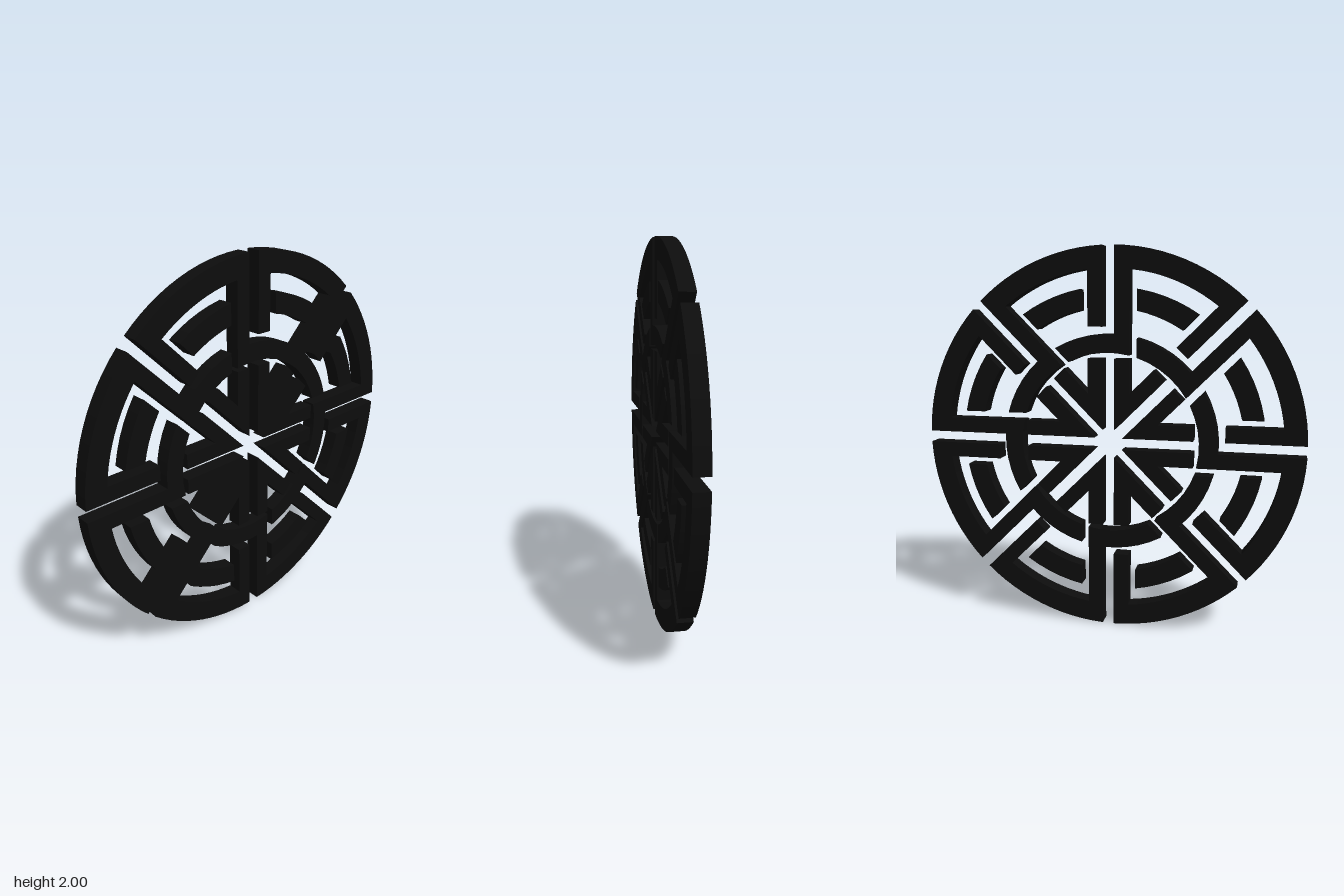
import * as THREE from 'three';

const SECTORS = 8, STEP = Math.PI / 4, TOP = Math.PI / 2;
const GAP = 0.03, BAR = 0.108, CLEAR = 0.147; // offsets from a radial gap line
const THICK = 0.078;

// Point at distance s along the gap line at angle a, shifted sideways (clockwise) by o
const along = (a, s, o) => new THREE.Vector2(
  Math.cos(a) * s + Math.sin(a) * o, Math.sin(a) * s - Math.cos(a) * o);
// Same, but lying on the circle of radius r
const onCircle = (a, r, o) => along(a, Math.sqrt(r * r - o * o), o);

// Arc of radius r between two gap-relative ends
function arc(r, a0, o0, a1, o1, n) {
  const t0 = a0 - Math.asin(o0 / r), t1 = a1 - Math.asin(o1 / r);
  return Array.from({ length: n + 1 }, (_, i) => {
    const t = t0 + (t1 - t0) * i / n;
    return new THREE.Vector2(Math.cos(t) * r, Math.sin(t) * r);
  });
}

function plate(points) {
  const geo = new THREE.ExtrudeGeometry(new THREE.Shape(points),
    { depth: THICK, bevelEnabled: false });
  return geo.translate(0, 0, -THICK / 2);
}

export function createModel() {
  const A = TOP, B = TOP - STEP, C = TOP - 2 * STEP, MID = TOP - STEP / 2;

  // Rim arc with a short arm, and a long arm that ends in a hooked foot
  const rim = plate([
    along(A, 0.6, GAP),
    ...arc(1, A, GAP, B, -GAP, 12),
    ...arc(0.565, B, -GAP, C, -CLEAR, 5),
    ...arc(0.47, C, -CLEAR, B, -BAR, 5),
    ...arc(0.89, B, -BAR, A, BAR, 10),
    along(A, 0.6, BAR),
  ]);

  // Loose curved bar inside each rim panel
  const curved = plate([
    ...arc(0.8, A, CLEAR, B, -CLEAR, 5),
    ...arc(0.695, B, -CLEAR, A, CLEAR, 5),
  ]);

  // V-shaped spoke pair pointing at the centre
  const spokes = plate([
    along(MID, GAP / Math.sin(STEP / 2), 0),
    along(A, 0.44, GAP), along(A, 0.44, BAR),
    along(MID, BAR / Math.sin(STEP / 2), 0),
    along(B, 0.44, -BAR), along(B, 0.44, -GAP),
  ]);

  const mat = new THREE.MeshStandardMaterial({ color: 0x0d0d0d });
  const disc = new THREE.Group();
  disc.name = 'fretworkDisc';
  const parts = { rimHook: rim, curvedBar: curved, innerSpokes: spokes };
  for (let i = 0; i < SECTORS; i++) {
    const sector = new THREE.Group();
    sector.name = `sector${i + 1}`;
    sector.rotation.z = -i * STEP;
    for (const [name, geo] of Object.entries(parts)) {
      const mesh = new THREE.Mesh(geo, mat);
      mesh.name = name;
      sector.add(mesh);
    }
    disc.add(sector);
  }

  // Upright disc turned halfway between front and left
  disc.rotation.y = Math.PI / 4;
  disc.position.y = 1;
  const model = new THREE.Group();
  model.name = 'fretworkWheel';
  model.add(disc);
  return model;
}
